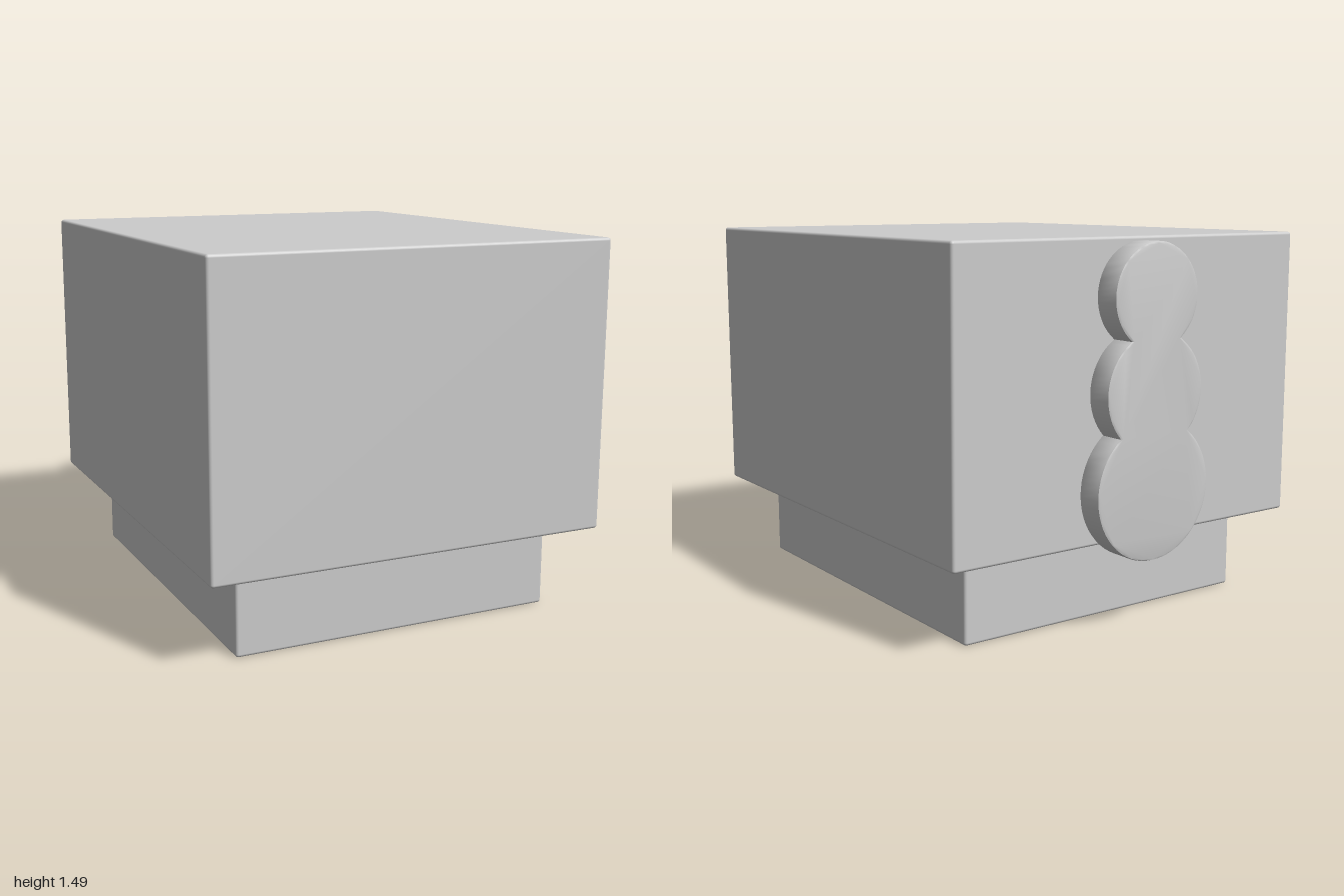
import * as THREE from 'three';
import { RoundedBoxGeometry } from 'three/addons/geometries/RoundedBoxGeometry.js';
import { toCreasedNormals } from 'three/addons/utils/BufferGeometryUtils.js';

const material = new THREE.MeshStandardMaterial({ color: 0xcccccc });

// Softly rounded box given by its two extreme corners
function addBox(group, name, [x0, y0, z0], [x1, y1, z1]) {
  const mesh = new THREE.Mesh(new RoundedBoxGeometry(x1 - x0, y1 - y0, z1 - z0, 3, 0.012), material);
  mesh.position.set((x0 + x1) / 2, (y0 + y1) / 2, (z0 + z1) / 2);
  mesh.name = name;
  group.add(mesh);
}

// Height at which two overlapping circles on the centre line cross
function crossing(a, b) {
  const d = b.y - a.y;
  return a.y + (d * d + a.r * a.r - b.r * b.r) / (2 * d);
}

// Outline of three stacked, overlapping circles
function tailShape(low, mid, top) {
  const angle = (c, y) => Math.asin((y - c.y) / c.r);
  const y1 = crossing(low, mid), y2 = crossing(mid, top);
  const points = [];
  const arc = (c, from, to, steps) => {
    for (let i = 0; i < steps; i++) {
      const a = from + (to - from) * i / steps;
      points.push(new THREE.Vector2(c.r * Math.cos(a), c.y + c.r * Math.sin(a)));
    }
  };
  const lowA = angle(low, y1), midA = angle(mid, y1), midB = angle(mid, y2), topA = angle(top, y2);
  arc(low, -Math.PI - lowA, lowA, 48);
  arc(mid, midA, midB, 18);
  arc(top, topA, Math.PI - topA, 48);
  arc(mid, Math.PI - midB, Math.PI - midA, 18);
  return new THREE.Shape(points);
}

export function createModel() {
  const model = new THREE.Group();
  model.name = 'model';

  // Wide upper block on a narrower foot
  addBox(model, 'body', [-0.82, 0.34, -0.885], [0.82, 1.49, 1]);
  addBox(model, 'base', [-0.67, 0, -0.73], [0.67, 0.345, 0.85]);

  // Stacked round plate on the back
  const bevel = 0.008;
  const plate = new THREE.ExtrudeGeometry(
    tailShape({ y: 0.55, r: 0.27 }, { y: 0.92, r: 0.23 }, { y: 1.275, r: 0.2 }),
    { depth: 0.107 - 2 * bevel, bevelThickness: bevel, bevelSize: bevel, bevelOffset: -bevel, bevelSegments: 2 }
  );
  const tail = new THREE.Mesh(toCreasedNormals(plate, 0.6), material);
  tail.position.z = -1 + bevel;
  tail.name = 'backPlate';
  model.add(tail);

  return model;
}
